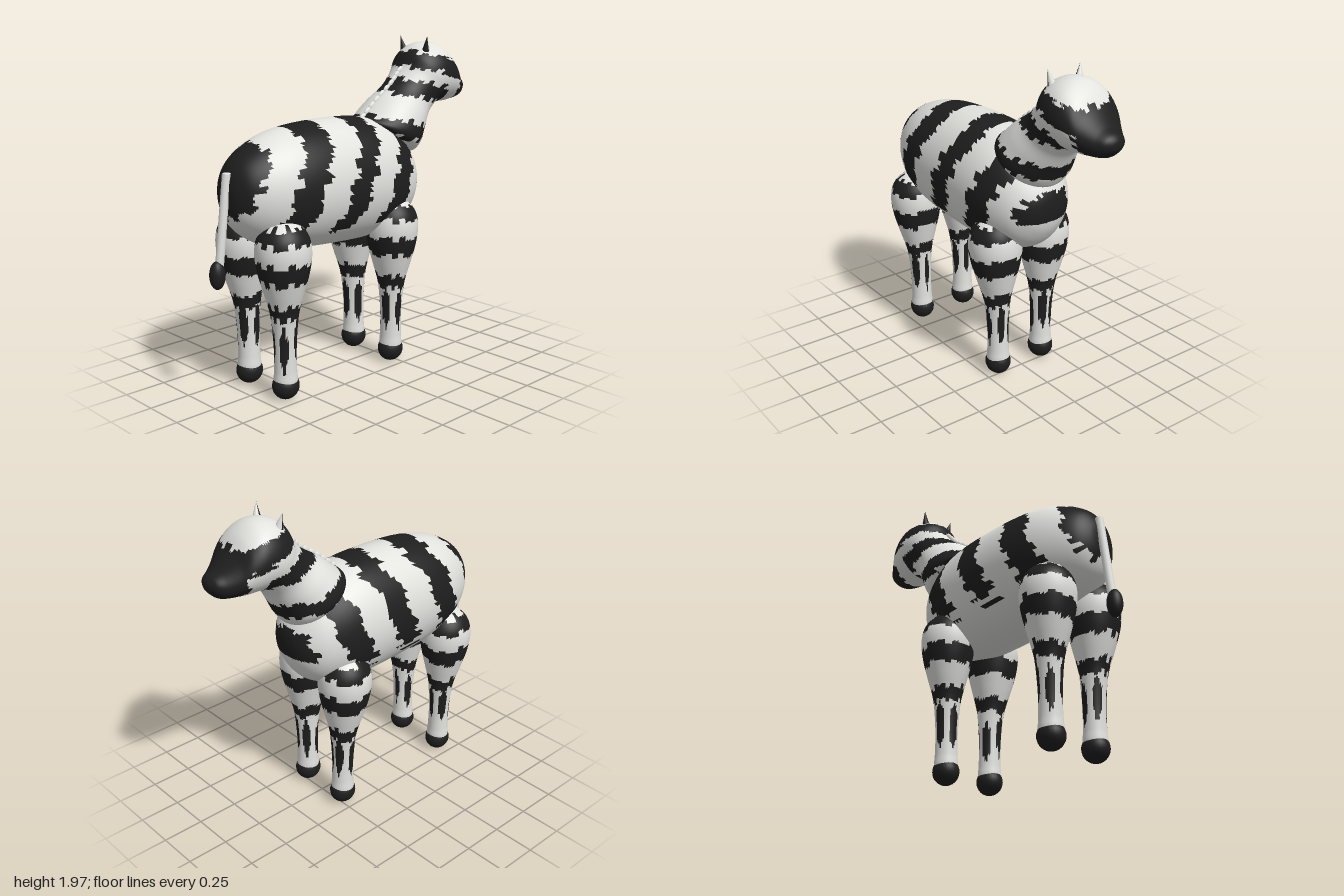
import * as THREE from 'three';

const light = new THREE.MeshStandardMaterial({ color: 0xe2e2df });
light.name = 'light coat';
const dark = new THREE.MeshStandardMaterial({ color: 0x1e1e1e });
dark.name = 'dark coat';

// Repeatable value from -0.5 to 0.5
const hash = (a, b = 0) => {
  const s = Math.sin(a * 12.9898 + b * 78.233) * 43758.5453;
  return s - Math.floor(s) - 0.5;
};
const within = (v, bands) => bands.some(([lo, hi]) => v > lo && v < hi);

// Skin over oval sections [z1, y1, z2, y2, halfWidth, xCentre];
// isDark(x, y, z, column) picks the colour of each face.
function loft(name, sections, rings, sides, isDark) {
  const a = new THREE.CatmullRomCurve3(sections.map(s => new THREE.Vector3(s[5] || 0, s[1], s[0])));
  const b = new THREE.CatmullRomCurve3(sections.map(s => new THREE.Vector3(s[4], s[3], s[2])));
  const pos = [];
  for (let i = 0; i <= rings; i++) {
    const p = a.getPoint(i / rings), q = b.getPoint(i / rings);
    const w = Math.max(0, q.x);
    for (let j = 0; j < sides; j++) {
      const t = (j / sides) * Math.PI * 2, c = Math.cos(t) / 2;
      pos.push(p.x + w * Math.sin(t), (p.y + q.y) / 2 + (p.y - q.y) * c, (p.z + q.z) / 2 + (p.z - q.z) * c);
    }
  }
  const faces = [[], []];
  const mid = (k, ids) => ids.reduce((sum, id) => sum + pos[id * 3 + k], 0) / ids.length;
  for (let i = 0; i < rings; i++) {
    for (let j = 0; j < sides; j++) {
      const n = (j + 1) % sides;
      const q = [i * sides + j, i * sides + n, (i + 1) * sides + n, (i + 1) * sides + j];
      for (const tri of [[q[0], q[1], q[2]], [q[0], q[2], q[3]]]) {
        faces[isDark(mid(0, tri), mid(1, tri), mid(2, tri), j) ? 1 : 0].push(...tri);
      }
    }
  }
  const g = new THREE.BufferGeometry();
  g.setAttribute('position', new THREE.Float32BufferAttribute(pos, 3));
  g.setIndex([...faces[0], ...faces[1]]);
  g.addGroup(0, faces[0].length, 0);
  g.addGroup(faces[0].length, faces[1].length, 1);
  g.computeVertexNormals();
  const mesh = new THREE.Mesh(g, [light, dark]);
  mesh.name = name;
  return mesh;
}

function ball(name, mat, x, y, z, rx, ry, rz) {
  const m = new THREE.Mesh(new THREE.SphereGeometry(1, 24, 16), mat);
  m.name = name;
  m.position.set(x, y, z);
  m.scale.set(rx, ry, rz);
  return m;
}

function makeBody() {
  const ring = (z, top, bottom, w) => [z, top, z, bottom, w];
  return loft('body', [
    ring(0.885, 1.18, 1.18, 0), ring(0.873, 1.27, 1.08, 0.075), ring(0.83, 1.355, 0.99, 0.15),
    ring(0.75, 1.42, 0.92, 0.21), ring(0.62, 1.48, 0.855, 0.265), ring(0.45, 1.515, 0.82, 0.295),
    ring(0.16, 1.53, 0.795, 0.305), ring(-0.1, 1.515, 0.79, 0.3), ring(-0.25, 1.47, 0.81, 0.275),
    ring(-0.38, 1.38, 0.87, 0.22), ring(-0.46, 1.27, 0.97, 0.14), ring(-0.49, 1.2, 1.05, 0.075),
    ring(-0.5, 1.13, 1.13, 0),
  ], 110, 80, (x, y, z, j) => {
    const col = Math.floor(j / 2);
    const jag = hash(col, 3) * 0.06;
    const s = z + 0.4 * (y - 1.2) + jag; // slanted barrel stripes
    if (y < 0.95 + jag) return false;
    if (s < -0.455) return y > 1.05 && y < 1.23;
    return within(s, [[-0.31, -0.14], [0.05, 0.21], [0.415, 0.6], [0.79, 2]]);
  });
}

function makeNeckAndHead() {
  return loft('neckAndHead', [
    [-0.3, 1.38, -0.3, 1.38, 0], [-0.12, 1.49, -0.49, 1.265, 0.2], [-0.16, 1.52, -0.525, 1.3, 0.225],
    [-0.26, 1.605, -0.58, 1.4, 0.203], [-0.385, 1.69, -0.635, 1.49, 0.172], [-0.47, 1.78, -0.69, 1.54, 0.18],
    [-0.52, 1.87, -0.74, 1.55, 0.194], [-0.6, 1.92, -0.78, 1.55, 0.199], [-0.7, 1.925, -0.82, 1.55, 0.192],
    [-0.78, 1.875, -0.86, 1.555, 0.172], [-0.85, 1.785, -0.905, 1.56, 0.138], [-0.92, 1.725, -0.945, 1.57, 0.103],
    [-0.975, 1.695, -0.975, 1.595, 0.07], [-0.995, 1.67, -0.995, 1.62, 0.032], [-1, 1.645, -1, 1.645, 0],
  ], 110, 72, (x, y, z, j) => {
    const jag = hash(Math.floor(j / 2), 7) * 0.04;
    const s = y - 0.22 * (z + 0.55) + jag;
    if (z + jag < -0.84) return true; // muzzle
    if (z < -0.72) return s > 1.77 && s < 1.87;
    return within(s, [[1.33, 1.43], [1.59, 1.69], [1.77, 1.87]]);
  });
}

function makeLeg(name, side, zTop, zFoot, seed) {
  const leg = new THREE.Group();
  leg.name = name;
  // height, radius and how far the section sits toward the shoulder or hip
  const sections = [
    [1.04, 0, 1], [1.03, 0.055, 1], [1.0, 0.105, 1], [0.94, 0.145, 1], [0.86, 0.158, 1], [0.76, 0.147, 0.9],
    [0.64, 0.117, 0.7], [0.52, 0.084, 0.4], [0.45, 0.074, 0.25], [0.3, 0.064, 0.1], [0.17, 0.065, 0],
    [0.1, 0.068, 0], [0.05, 0.05, 0],
  ].map(([y, r, k]) => {
    const z = THREE.MathUtils.lerp(zFoot, zTop, k);
    return [z - r, y, z + r, y, r, side * (0.163 + 0.012 * k)];
  });
  leg.add(loft(name + 'Limb', sections, 90, 48, (x, y, z, j) => {
    const s = y + hash(Math.floor(j / 2), seed) * 0.045;
    if (within(s, [[0.92, 1.005], [0.7, 0.81], [0.485, 0.565]])) return true;
    // pointed flecks on the shin
    const near = Math.abs(((j + seed) % 10) - 4.5) / 5;
    const reach = 0.14 * (1 - near) + hash(j, seed + 9) * 0.05;
    return near < 0.65 && Math.abs(y - 0.34 + hash(Math.floor((j + seed) / 10), seed) * 0.08) < reach;
  }));
  leg.add(ball(name + 'Hoof', dark, side * 0.163, 0.078, zFoot, 0.075, 0.078, 0.08));
  return leg;
}

function makeEar(side) {
  const ear = new THREE.Group();
  ear.name = side > 0 ? 'leftEar' : 'rightEar';
  [['earBack', dark, -Math.PI / 2], ['earFront', light, Math.PI / 2]].forEach(([name, mat, start]) => {
    const half = new THREE.Mesh(new THREE.ConeGeometry(0.032, 0.12, 12, 1, true, start, Math.PI), mat);
    half.name = name;
    ear.add(half);
  });
  ear.position.set(side * 0.098, 1.91, -0.585);
  ear.rotation.set(0.16, 0, -side * 0.22);
  return ear;
}

function makeTail() {
  const tail = new THREE.Group();
  tail.name = 'tail';
  const path = new THREE.LineCurve3(new THREE.Vector3(0, 1.3, 0.877), new THREE.Vector3(0, 0.8, 0.94));
  const dock = new THREE.Mesh(new THREE.TubeGeometry(path, 1, 0.024, 16), light);
  dock.name = 'tailDock';
  const cap = ball('tailCap', light, 0, 1.3, 0.877, 0.024, 0.006, 0.024);
  tail.add(dock, cap, ball('tailTuft', dark, 0, 0.755, 0.955, 0.043, 0.08, 0.045));
  return tail;
}

function makeMane() {
  const mane = new THREE.Group();
  mane.name = 'mane';
  const path = new THREE.CatmullRomCurve3([[1.505, -0.14], [1.6, -0.255], [1.69, -0.38], [1.765, -0.455]]
    .map(([y, z]) => new THREE.Vector3(0, y, z)));
  for (let i = 0; i < 10; i++) {
    const p = path.getPoint(i / 9);
    const tuft = ball('maneTuft', light, 0, p.y, p.z, 0.012, 0.018, 0.03);
    tuft.rotation.x = 0.7;
    mane.add(tuft);
  }
  return mane;
}

export function createModel() {
  const model = new THREE.Group();
  model.name = 'stripedAnimal';
  model.add(makeBody(), makeNeckAndHead(), makeTail(), makeMane());
  for (const side of [1, -1]) {
    const label = side > 0 ? 'left' : 'right';
    model.add(makeEar(side));
    model.add(makeLeg(label + 'FrontLeg', side, -0.215, -0.225, 2 + side));
    model.add(makeLeg(label + 'HindLeg', side, 0.64, 0.625, 6 + side));
  }
  return model;
}
